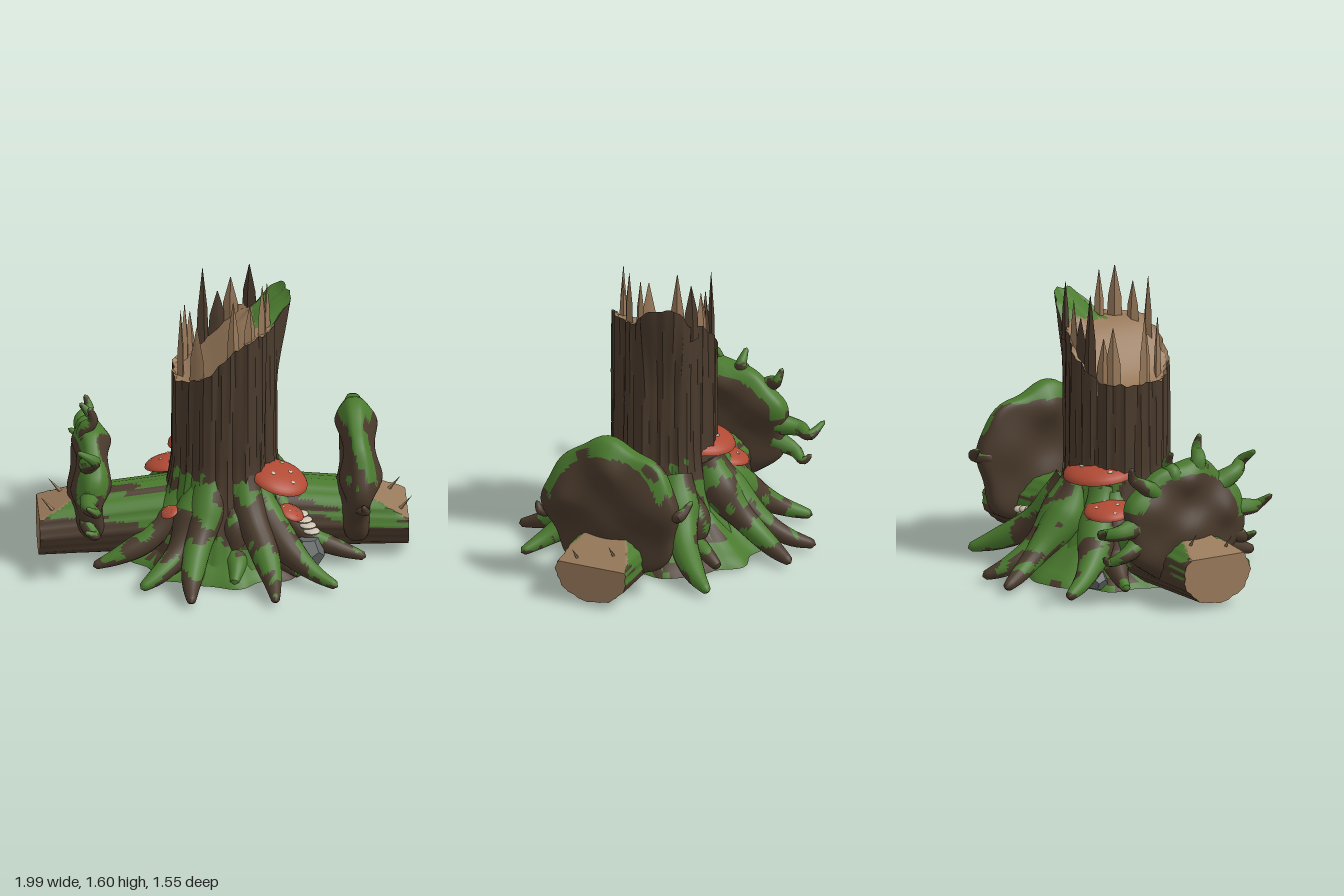
import * as THREE from 'three';
import { toCreasedNormals } from 'three/addons/utils/BufferGeometryUtils.js';
import { ParametricGeometry } from 'three/addons/geometries/ParametricGeometry.js';

const { lerp, smoothstep } = THREE.MathUtils;
const V = (x, y, z) => new THREE.Vector3(x, y, z);
const mat = (name, color) => Object.assign(new THREE.MeshStandardMaterial({ color }), { name });
const bark = mat('bark', 0x4a3a2c), moss = mat('moss', 0x4a7a2e), wood = mat('wood', 0x98795a);
const red = mat('mushroomRed', 0xb04a34), cream = mat('cream', 0xcdc2b0);
const stone = mat('stone', 0x646968);

const noise = p => Math.sin(11 * p.x + 5 * p.y + 1) + Math.sin(13 * p.z - 8 * p.y + 2)
  + 0.8 * Math.sin(27 * p.x - 21 * p.z) + 0.8 * Math.sin(33 * p.y + 19 * p.x + 9 * p.z)
  + 0.5 * Math.sin(53 * p.x + 47 * p.z - 31 * p.y);
const surface = (f, nu, nv) => new ParametricGeometry((u, v, t) => t.set(...f(u, v)), nu, nv);

// Crease the normals, then sort triangles into one group per material
function painted(name, geo, mats, pick = () => 0) {
  geo.scale(50, 50, 50);
  const g = toCreasedNormals(geo, 0.75);
  g.scale(0.02, 0.02, 0.02);
  const P = g.attributes.position.array, N = g.attributes.normal.array;
  const pos = mats.map(() => []), nor = mats.map(() => []);
  const tri = new THREE.Triangle(), mid = V(), n = V();
  for (let i = 0; i < P.length; i += 9) {
    tri.a.fromArray(P, i); tri.b.fromArray(P, i + 3); tri.c.fromArray(P, i + 6);
    tri.getMidpoint(mid); tri.getNormal(n);
    const k = pick(mid, n);
    for (let j = i; j < i + 9; j++) { pos[k].push(P[j]); nor[k].push(N[j]); }
  }
  const out = new THREE.BufferGeometry();
  out.setAttribute('position', new THREE.Float32BufferAttribute(pos.flat(), 3));
  out.setAttribute('normal', new THREE.Float32BufferAttribute(nor.flat(), 3));
  let start = 0;
  pos.forEach((p, k) => { out.addGroup(start, p.length / 3, k); start += p.length / 3; });
  const mesh = new THREE.Mesh(out, mats);
  mesh.name = name;
  return mesh;
}

// Tapered tube through points
function limbGeometry(points, radius, n = 24, m = 12) {
  const curve = new THREE.CatmullRomCurve3(points);
  const geo = new THREE.TubeGeometry(curve, n, 1, m), p = geo.attributes.position, v = V();
  for (let i = 0; i < p.count; i++) {
    const t = Math.floor(i / (m + 1)) / n, c = curve.getPointAt(t);
    v.fromBufferAttribute(p, i).sub(c).multiplyScalar(radius(t)).add(c);
    p.setXYZ(i, v.x, v.y, v.z);
  }
  return geo;
}

// Trunk outline: slanted broken rim with one leaning prong
const prong = a => Math.exp(-((Math.atan2(Math.sin(a + 0.38), Math.cos(a + 0.38)) / 0.42) ** 4));
const breakHeight = x => 1.08 + 0.27 * smoothstep(x, -0.24, 0.17);
const rim = a => breakHeight(0.275 * Math.cos(a)) + 0.14 * prong(a) + 0.006 * Math.sin(9 * a) + 0.006 * Math.sin(23 * a);
function trunkPoint(a, y) {
  const flare = Math.max(0, 1 - y / 0.62);
  const r = 0.275 + 0.17 * flare ** 1.6 + 0.1 * prong(a) * smoothstep(y, 0.95, 1.55)
    + 0.008 * Math.sin(7 * a + y) + 0.006 * Math.sin(16 * a + 2 * y) + 0.005 * Math.sin(37 * a + 3 * y);
  return [-0.012 + r * Math.cos(a), y, 0.025 + r * Math.sin(a)];
}

function addTrunk(g) {
  g.add(painted('trunk', surface((u, v) => {
    const a = -u * Math.PI * 2;
    return trunkPoint(a, lerp(0.03, rim(a), v));
  }, 110, 44), [bark, moss], p => p.y < 0.58 && noise(p) > 0.5 + 8 * (p.y - 0.38) ? 1 : 0));
  g.add(painted('brokenTop', surface((u, v) => {
    const a = -u * Math.PI * 2, p = trunkPoint(a, rim(a)), x = lerp(p[0], -0.01, v);
    const y = v === 0 ? p[1] : breakHeight(Math.min(x, 0.26)) - 0.015 + 0.14 * prong(a) * Math.max(0, 1 - 1.7 * v);
    return [x, y, lerp(p[2], 0.02, v)];
  }, 110, 16), [wood, moss], p => p.x > 0.15 && p.z < 0.08 && p.z > -0.23 ? 1 : 0));

  // Splinters: x, z, tip height, half width
  [[-0.24, 0.06, 1.44, 0.05], [-0.16, 0.19, 1.4, 0.06], [-0.21, -0.12, 1.39, 0.055],
    [-0.11, -0.2, 1.56, 0.045], [0.03, 0.25, 1.57, 0.04], [0.19, 0.14, 1.61, 0.05],
    [0.22, 0.06, 1.59, 0.035], [0.14, -0.2, 1.58, 0.055], [0.04, -0.21, 1.5, 0.055],
    [0.12, 0.21, 1.53, 0.045], [-0.18, -0.16, 1.33, 0.05], [-0.03, -0.21, 1.42, 0.06]
  ].forEach(([x, z, top, w], i) => {
    const base = breakHeight(x) - 0.08, h = top - base;
    const geo = new THREE.CylinderGeometry(0.04, 1, 1, 4, 2).translate(0, 0.5, 0), p = geo.attributes.position;
    for (let k = 0; k < p.count; k++) // keep the lower half broad, then taper to a point
      if (Math.abs(p.getY(k) - 0.5) < 0.01) { p.setX(k, p.getX(k) * 1.6); p.setZ(k, p.getZ(k) * 1.6); }
    geo.scale(0.02, h, w * 0.85).rotateY(-Math.atan2(z, x)).translate(x, base, z);
    g.add(painted('splinter', geo, [i % 4 === 3 ? bark : wood]));
  });
}

// Roots: tip x, tip z, starting height, thickness
function addRoots(g) {
  [[-0.48, 0.57, 0.46, 0.1], [-0.22, 0.76, 0.52, 0.1], [0.23, 0.77, 0.52, 0.1], [0.57, 0.6, 0.48, 0.1],
    [-0.53, -0.6, 0.5, 0.11], [-0.19, -0.78, 0.53, 0.1], [0.08, -0.76, 0.52, 0.1], [0.61, -0.52, 0.48, 0.11],
    [0.02, 0.54, 0.38, 0.085], [0.38, 0.45, 0.34, 0.08], [-0.34, -0.44, 0.4, 0.09], [0.3, -0.44, 0.36, 0.08],
    [-0.34, 0.42, 0.36, 0.08], [0.74, 0.24, 0.42, 0.075], [-0.72, 0.28, 0.44, 0.085], [-0.56, -0.25, 0.46, 0.1]
  ].forEach(([x, z, h, w], i) => {
    const R = Math.hypot(x, z), a = Math.atan2(z, x), bend = i % 2 ? 0.1 : -0.1;
    const at = (r, y, k) => V(r * Math.cos(a + bend * k), y, r * Math.sin(a + bend * k));
    const geo = limbGeometry([at(0.23, h, 1), at(0.32, h * 0.68, 0.8), at(R * 0.62, h * 0.37, 0.9),
      at(R * 0.82, 0.095, 0.5), at(R, 0.045, 0)],
    t => t > 0.999 ? 0 : w * (0.6 + 0.4 * smoothstep(t, 0, 0.3)) * (1 - t) ** 0.75 * (1 + 0.12 * Math.sin(9 * t + i)) + 0.018, 40, 18);
    const p = geo.attributes.position;
    for (let k = 0; k < p.count; k++) p.setY(k, Math.max(0.025, p.getY(k)));
    g.add(painted('root', geo, [bark, moss], (q, n) => noise(q) + 1.4 * n.y > 0.5 + 4 * Math.max(0, q.y - 0.4) ? 1 : 0));
  });
}

// Mossy ground around the roots and the soil beneath
function addGround(g) {
  const profile = [[0, 0.02], [0.3, 0.02], [0.53, 0.02], [0.51, 0.05], [0.46, 0.08], [0.4, 0.13], [0.33, 0.21], [0.22, 0.34]];
  const geo = new THREE.LatheGeometry(profile.map(q => new THREE.Vector2(...q)), 90), p = geo.attributes.position;
  for (let i = 0; i < p.count; i++) {
    const a = Math.atan2(p.getZ(i), p.getX(i)), k = 1 + 0.04 * Math.sin(9 * a) + 0.025 * Math.sin(14 * a);
    p.setX(i, p.getX(i) * k); p.setZ(i, p.getZ(i) * k);
  }
  g.add(painted('mound', geo, [bark, moss], (q, n) => n.y > 0 && noise(q) > -0.5 ? 1 : 0));
  g.add(painted('soilDisc', new THREE.CylinderGeometry(0.44, 0.44, 0.012, 40).translate(0, 0.016, 0), [stone]));
}

// Fallen log on side s, its end sawn upright with a sloping split above
function addLog(g, s, end, cz, inner, slope, mossiness) {
  const split = x => slope[0] + (Math.abs(x) - slope[1]) * slope[2];
  const geo = surface((u, v) => {
    const t = Math.min(1, v / 0.9), k = Math.max(0, (v - 0.9) / 0.1), a = s * u * Math.PI * 2;
    const x = s * lerp(0.12, end, t), cy = lerp(inner, 0.195, t);
    const r = (1 + 0.02 * Math.sin(9 * a) + 0.014 * Math.sin(21 * a)) * (1 - k);
    const y = cy + lerp(inner - 0.03, 0.16, t) * r * Math.cos(a);
    return [x, Math.min(y, split(x)), cz * t + 0.205 * r * Math.sin(a)];
  }, 72, 50);
  g.add(painted('log', geo, [bark, moss, wood], (p, n) => {
    const x = Math.abs(p.x);
    if (x > end - 0.002 || (x > 0.72 && Math.abs(p.y - split(p.x)) < 0.004 && n.y > 0.5)) return 2;
    return noise({ x: p.x * 0.4, y: p.y * 1.6, z: p.z * 1.6 }) + 2.2 * n.y > mossiness ? 1 : 0;
  }));
  [[0.95, 0.1], [0.9, -0.09]].forEach(([x, z]) => {
    const cone = new THREE.ConeGeometry(0.014, 0.13, 4).rotateZ(-s * 0.7);
    g.add(painted('logSplinter', cone.translate(s * x, split(x) + 0.035, z + cz), [wood]));
  });
}

// Upright lumpy plate of bark and old roots standing across a log
function addPlate(g, cx, cy, ry, rz) {
  const geo = new THREE.SphereGeometry(1, 64, 50).rotateZ(Math.PI / 2), p = geo.attributes.position;
  for (let i = 0; i < p.count; i++) {
    const [x, y, z] = [p.getX(i), p.getY(i), p.getZ(i)], phi = Math.atan2(y, z), rho = Math.hypot(y, z);
    const k = 1 + rho * (0.03 * Math.sin(5 * phi + 1) + 0.03 * Math.sin(8 * phi + cx * 3));
    const bulge = 0.092 + 0.016 * Math.sin(6 * y + cx * 5) * Math.cos(5 * z)
      + 0.03 * Math.exp(-((y - 0.7) ** 2 + z * z) * 22) + 0.03 * Math.exp(-((y - 0.1) ** 2 + (z - 0.65) ** 2) * 22);
    p.setXYZ(i, cx + Math.sign(x) * Math.abs(x) ** 0.6 * bulge + 0.012 * Math.sin(4 * y + cx), cy + ry * k * y, rz * k * z);
  }
  g.add(painted('rootPlate', geo, [bark, moss], (q, n) => {
    const d = Math.hypot((q.y - cy) / ry, q.z / rz);
    return d > 0.83 && q.y > cy && noise(q) + 4 * n.y > 1 ? 1 : 0;
  }));
}

// Broken root ends curling off the plates: plate x, z and y of the tip
function addTendrils(g) {
  [[-0.73, 0.1, 0.88], [-0.73, -0.1, 0.81], [-0.73, 0.4, 0.76], [-0.73, -0.33, 0.75], [-0.73, 0.53, 0.49],
    [-0.73, -0.54, 0.45], [-0.73, -0.5, 0.28], [-0.73, 0.43, 0.3], [0.71, -0.44, 0.55], [0.71, 0.44, 0.42]
  ].forEach(([x, z, y], i) => {
    const at = (k, dy, dx) => V(x + dx, lerp(0.43, y, k) + dy, z * k);
    const geo = limbGeometry([at(0.55, 0, 0), at(0.78, -0.02, -0.02), at(0.92, -0.03, 0.02), at(1, 0.02, -0.04 * (i % 3))],
      t => t > 0.99 ? 0 : 0.05 * (1 - t) + 0.011, 20, 10);
    g.add(painted('tendril', geo, [bark, moss], (q, n) => noise(q) + 2 * n.y > 0.6 ? 1 : 0));
  });
}

// Shelf mushroom: shallow cap, pale underside and a few pale spots
function addMushroom(g, x, y, z, r, tiltX, tiltZ) {
  const m = new THREE.Group();
  m.name = 'mushroom';
  m.add(painted('cap', new THREE.SphereGeometry(r, 28, 9, 0, Math.PI * 2, 0, Math.PI / 2).scale(1, 0.38, 1), [red]));
  m.add(painted('gills', new THREE.ConeGeometry(r, r * 0.12, 28).rotateX(Math.PI).translate(0, -r * 0.06, 0), [cream]));
  for (let i = 0; i < 5; i++) {
    const a = i * 2.4, d = 0.3 + 0.11 * i;
    const spot = new THREE.SphereGeometry(r * 0.075, 8, 6).scale(1, 0.4, 1);
    spot.translate(r * d * Math.cos(a), r * 0.38 * Math.sqrt(1 - d * d), r * d * Math.sin(a));
    m.add(painted('spot', spot, [cream]));
  }
  m.position.set(x, y, z);
  m.rotation.set(tiltX, 0, tiltZ);
  g.add(m);
}

export function createModel() {
  const g = new THREE.Group();
  g.name = 'treeStump';
  addTrunk(g);
  addRoots(g);
  addGround(g);
  addLog(g, 1, 0.97, 0, 0.235, [0.35, 0.77, -0.55], 0.6);
  addLog(g, -1, 1, 0.04, 0.24, [0.37, 0.8, -0.4], 1.5);
  addPlate(g, 0.7, 0.47, 0.39, 0.39);
  addPlate(g, -0.725, 0.43, 0.33, 0.36);
  addTendrils(g);

  addMushroom(g, 0.275, 0.5, 0.2, 0.16, 0.15, -0.28);
  addMushroom(g, 0.34, 0.32, 0.25, 0.07, 0.2, -0.4);
  addMushroom(g, -0.1, 0.57, -0.13, 0.2, -0.12, 0.05);
  addMushroom(g, -0.29, 0.41, -0.2, 0.13, -0.15, 0.15);
  addMushroom(g, -0.31, 0.35, 0.27, 0.05, 0.3, 0.4);

  // Pale bracket fungi on the right log, front and back
  for (let i = 0; i < 4; i++) {
    const front = new THREE.SphereGeometry(0.045, 12, 8).scale(1, 0.35, 0.9).translate(0.39 + 0.02 * i, 0.29 - 0.03 * i, 0.2 + 0.01 * i);
    const back = new THREE.SphereGeometry(0.05, 12, 8).scale(1, 0.4, 0.8).translate(0.4 + 0.055 * i, 0.26 - 0.012 * i, -0.21);
    g.add(painted('bracketFungus', front, [cream]), painted('bracketFungus', back, [cream]));
  }
  // Stones
  [[0.43, 0.1, 0.27, 0.09], [-0.4, 0.08, -0.34, 0.06]].forEach(([x, y, z, r]) =>
    g.add(painted('stone', new THREE.DodecahedronGeometry(r).rotateX(x).translate(x, y, z), [stone])));
  return g;
}
